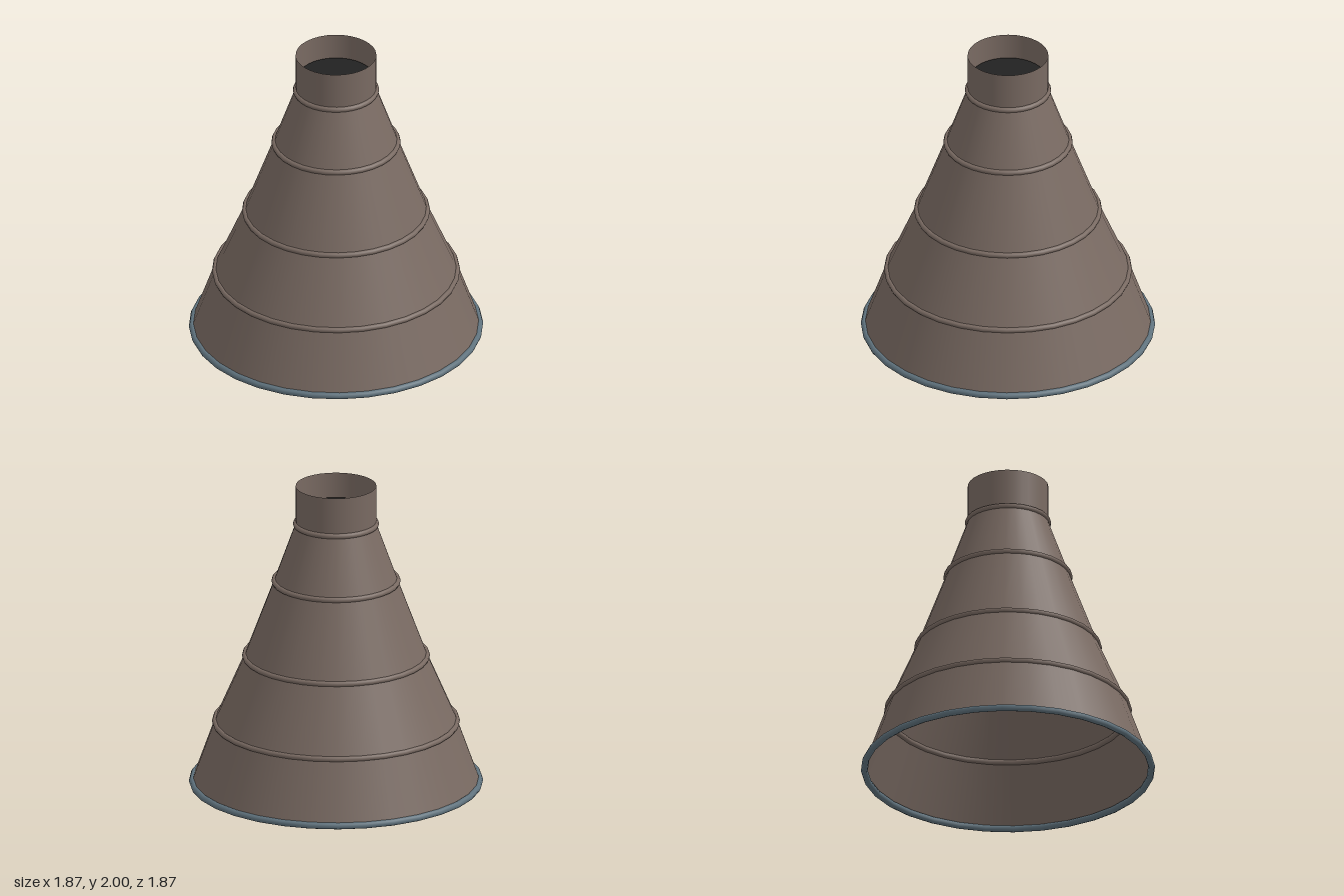
import * as THREE from 'three';

const SEGMENTS = 32;

export function createModel() {
  const model = new THREE.Group();

  const shellBrown = new THREE.MeshStandardMaterial({ color: 0x796a62, side: THREE.DoubleSide });
  shellBrown.name = 'shellBrown';
  const slateBlue = new THREE.MeshStandardMaterial({ color: 0x60737e });
  slateBlue.name = 'slateBlue';
  const throatBlack = new THREE.MeshStandardMaterial({ color: 0x222222, side: THREE.DoubleSide });
  throatBlack.name = 'throatBlack';

  const add = (name, geometry, material, y) => {
    const mesh = new THREE.Mesh(geometry, material);
    mesh.name = name;
    mesh.position.y = y;
    model.add(mesh);
  };

  // Horizontal ring lying around the shell
  const addRing = (name, radius, tube, y, material) => {
    const geometry = new THREE.TorusGeometry(radius, tube, 8, SEGMENTS);
    geometry.rotateX(Math.PI / 2);
    add(name, geometry, material, y);
  };

  // Open shell: conical sections and a straight neck, as [radius, y]
  const profile = [[0.915, 0.022], [0.772, 0.422], [0.581, 0.862], [0.394, 1.363], [0.257, 1.745], [0.257, 2]];
  for (let i = 0; i < profile.length - 1; i++) {
    const [r0, y0] = profile[i];
    const [r1, y1] = profile[i + 1];
    const name = i === profile.length - 2 ? 'neck' : `shellSection${i + 1}`;
    add(name, new THREE.CylinderGeometry(r1, r0, y1 - y0, SEGMENTS, 1, true), shellBrown, (y0 + y1) / 2);
  }

  // Stiffening bands at the joints
  for (let i = 1; i <= 4; i++) {
    const [radius, y] = profile[i];
    addRing(`band${i}`, radius, 0.018, y, shellBrown);
  }

  // Heavy rim at the bottom
  addRing('baseRim', 0.915, 0.022, 0.022, slateBlue);

  // Dark disc inside the neck, with a gap around it
  const disc = new THREE.CircleGeometry(0.24, SEGMENTS);
  disc.rotateX(-Math.PI / 2);
  add('throatDisc', disc, throatBlack, 1.84);

  return model;
}
